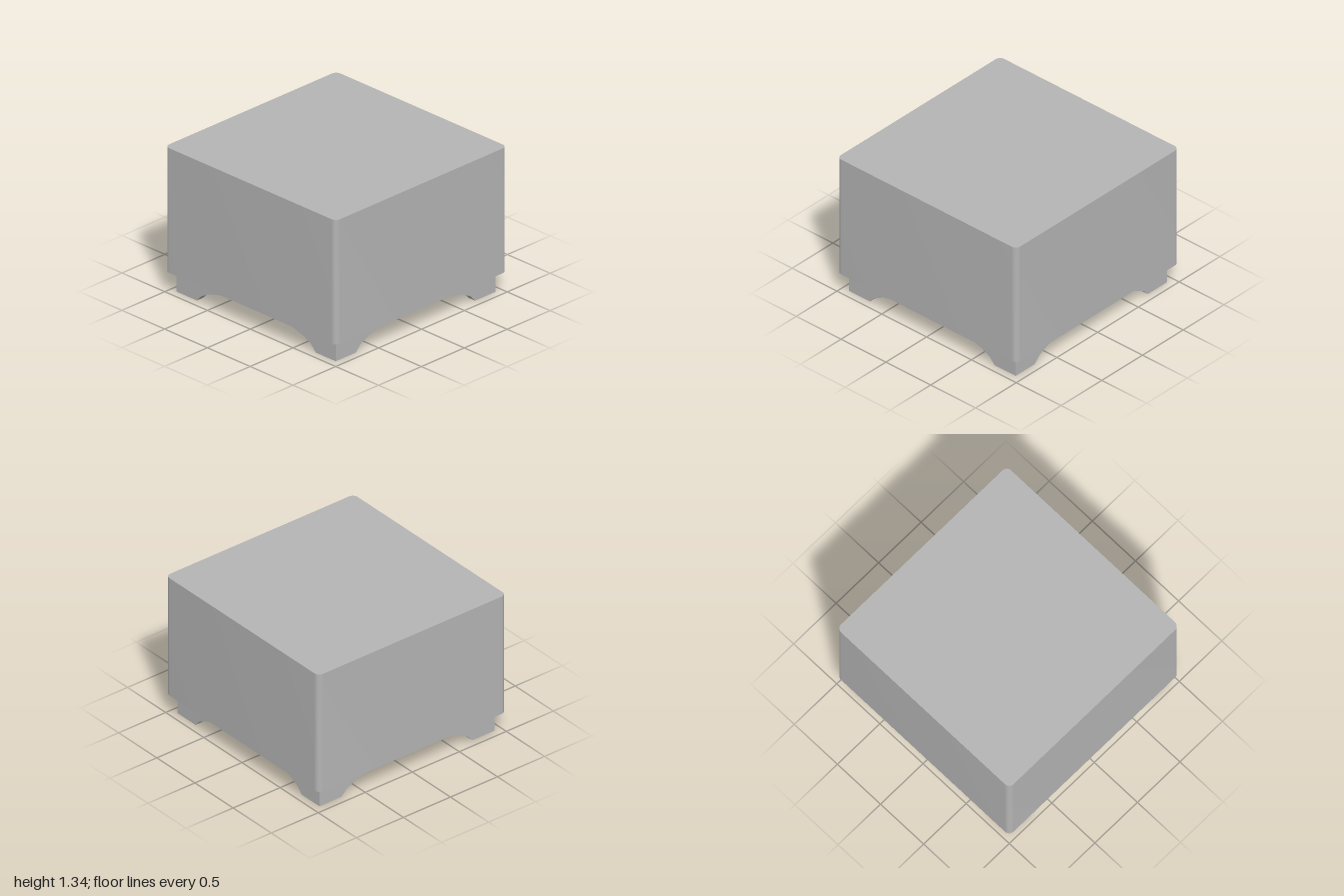
import * as THREE from 'three';
import { toCreasedNormals } from 'three/addons/utils/BufferGeometryUtils.js';

const BASE = 0.19;   // underside of the body
const TOP = 1.335;
const OUT = 0.93;    // outer face of the feet
const THICK = 0.08;  // thickness of the bracket arms

function extrude(shape, depth) {
  const geo = new THREE.ExtrudeGeometry(shape, { depth, bevelEnabled: false, curveSegments: 8 });
  return toCreasedNormals(geo, 0.45);
}

// Square outline with rounded corners
function roundedSquare(h, r) {
  const s = new THREE.Shape();
  s.absarc(h - r, h - r, r, 0, Math.PI / 2);
  s.absarc(-h + r, h - r, r, Math.PI / 2, Math.PI);
  s.absarc(-h + r, -h + r, r, Math.PI, Math.PI * 1.5);
  s.absarc(h - r, -h + r, r, Math.PI * 1.5, Math.PI * 2);
  s.closePath();
  return s;
}

// Arched side outline of one bracket arm, starting at the given outer end
function armShape(outer) {
  return new THREE.Shape([
    [outer, BASE], [0.4, BASE], [0.4, 0.145], [0.545, 0.108],
    [0.64, 0.06], [0.695, 0], [outer, 0],
  ].map(([x, y]) => new THREE.Vector2(x, y)));
}

export function createModel() {
  const model = new THREE.Group();
  model.name = 'ottoman';
  const grey = new THREE.MeshStandardMaterial({ color: 0xb4b4b4 });
  grey.name = 'grey';

  // Body: block with rounded upright edges
  const bodyGeo = extrude(roundedSquare(1, 0.05), TOP - BASE);
  bodyGeo.rotateX(-Math.PI / 2);
  bodyGeo.translate(0, BASE, 0);
  const body = new THREE.Mesh(bodyGeo, grey);
  body.name = 'body';
  model.add(body);

  // Bracket foot: two arms meeting at a corner
  const armX = extrude(armShape(OUT), THICK);
  armX.translate(0, 0, OUT - THICK);
  const armZ = extrude(armShape(OUT - THICK), THICK);
  armZ.rotateY(-Math.PI / 2);
  armZ.translate(OUT, 0, 0);

  const names = ['frontLeftFoot', 'backLeftFoot', 'backRightFoot', 'frontRightFoot'];
  names.forEach((name, i) => {
    const foot = new THREE.Group();
    foot.name = name;
    [armX, armZ].forEach((geo, j) => {
      const arm = new THREE.Mesh(geo, grey);
      arm.name = j === 0 ? 'footArm' : 'footSideArm';
      foot.add(arm);
    });
    foot.rotation.y = i * Math.PI / 2;
    model.add(foot);
  });

  return model;
}
